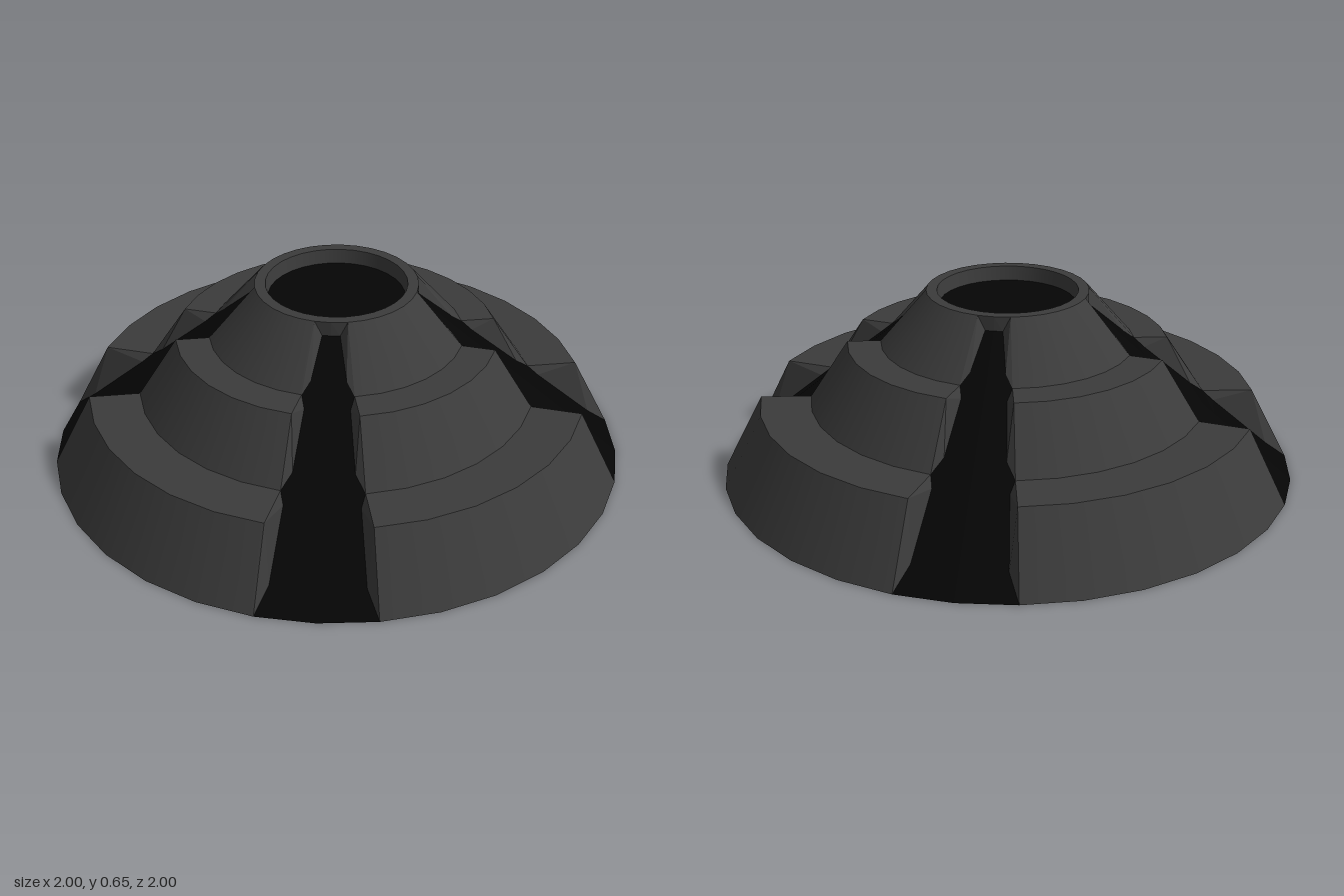
import * as THREE from 'three';

const SEG = 32;
const HALF = Math.PI / 16; // half angle of a channel

// Stepped outline [radius, height], base to rim
const STEPS = [[1, 0], [0.865, 0.26], [0.69, 0.26], [0.555, 0.465], [0.44, 0.465], [0.28, 0.65]];

// Channel floor edge [radius, height, inset from the panel edge]
const FLOOR = [
  [1, 0, 0], [0.92, 0.067, 0.027], [0.725, 0.231, 0.018],
  [0.69, 0.26, 0], [0.64, 0.301, 0.025], [0.475, 0.436, 0.018],
  [0.44, 0.465, 0], [0.4, 0.499, 0.02], [0.28, 0.6, 0.025],
];

const lathe = (pts, mat, name, segs = SEG, start = 0, len = Math.PI * 2) => {
  const g = new THREE.LatheGeometry(pts.map(p => new THREE.Vector2(p[0], p[1])), segs, start, len);
  const m = new THREE.Mesh(g, mat);
  m.name = name;
  return m;
};

// Flat faced mesh from a list of corner triples
const faces = (tris, mat, name) => {
  const g = new THREE.BufferGeometry().setFromPoints(tris.flat());
  g.computeVertexNormals();
  const m = new THREE.Mesh(g, mat);
  m.name = name;
  return m;
};

// Point on the +x (side 1), centre (0) or -x (-1) line of the front channel
const at = ([r, y, inset = 0], side) => {
  const x = side * (r * Math.sin(HALF) - inset);
  return new THREE.Vector3(x, y, Math.sqrt(r * r - x * x));
};

export function createModel() {
  const group = new THREE.Group();
  const shell = new THREE.MeshStandardMaterial({ color: 0x3b3b3b });
  shell.name = 'charcoal shell';
  const dark = new THREE.MeshStandardMaterial({ color: 0x050505 });
  dark.name = 'black recess';

  // Channel floor, channel side walls and the end wall below the rim
  const floor = [], walls = [];
  for (let i = 0; i < FLOOR.length - 1; i++) {
    const a = FLOOR[i], b = FLOOR[i + 1];
    for (const [l, r] of [[-1, 0], [0, 1]]) {
      floor.push([at(a, l), at(a, r), at(b, r)], [at(a, l), at(b, r), at(b, l)]);
    }
    // Each three floor spans fan up to the outer corner of their tier
    const corner = STEPS[2 * Math.floor(i / 3) + 1];
    walls.push([at(corner, 1), at(b, 1), at(a, 1)]);
    walls.push([at(corner, -1), at(a, -1), at(b, -1)]);
  }
  const end = FLOOR[FLOOR.length - 1], rim = STEPS[5];
  walls.push(
    [at(end, -1), at(end, 0), at(rim, 0)], [at(end, 0), at(end, 1), at(rim, 0)],
    [at(end, 1), at(rim, 1), at(rim, 0)], [at(rim, -1), at(end, -1), at(rim, 0)],
  );

  for (let q = 0; q < 4; q++) {
    const quarter = new THREE.Group();
    quarter.name = 'quarter' + (q + 1);
    quarter.rotation.y = q * Math.PI / 2;
    quarter.add(faces(floor, dark, 'channelFloor'), faces(walls, shell, 'channelWalls'));
    // Stepped panel between two channels
    for (let i = 0; i < STEPS.length - 1; i++) {
      quarter.add(lathe([STEPS[i], STEPS[i + 1]], shell, i % 2 ? 'ledge' : 'slopedPanel', 6, HALF, 6 * HALF));
    }
    group.add(quarter);
  }

  // Rim, recess and underside
  group.add(
    lathe([[0.28, 0.65], [0.243, 0.65]], shell, 'rim'),
    lathe([[0.243, 0.65], [0.235, 0.6]], shell, 'rimInnerWall'),
    lathe([[0.235, 0.6], [0, 0.6]], dark, 'recessFloor'),
    lathe([[0, 0], [1, 0]], shell, 'underside'),
  );
  return group;
}
